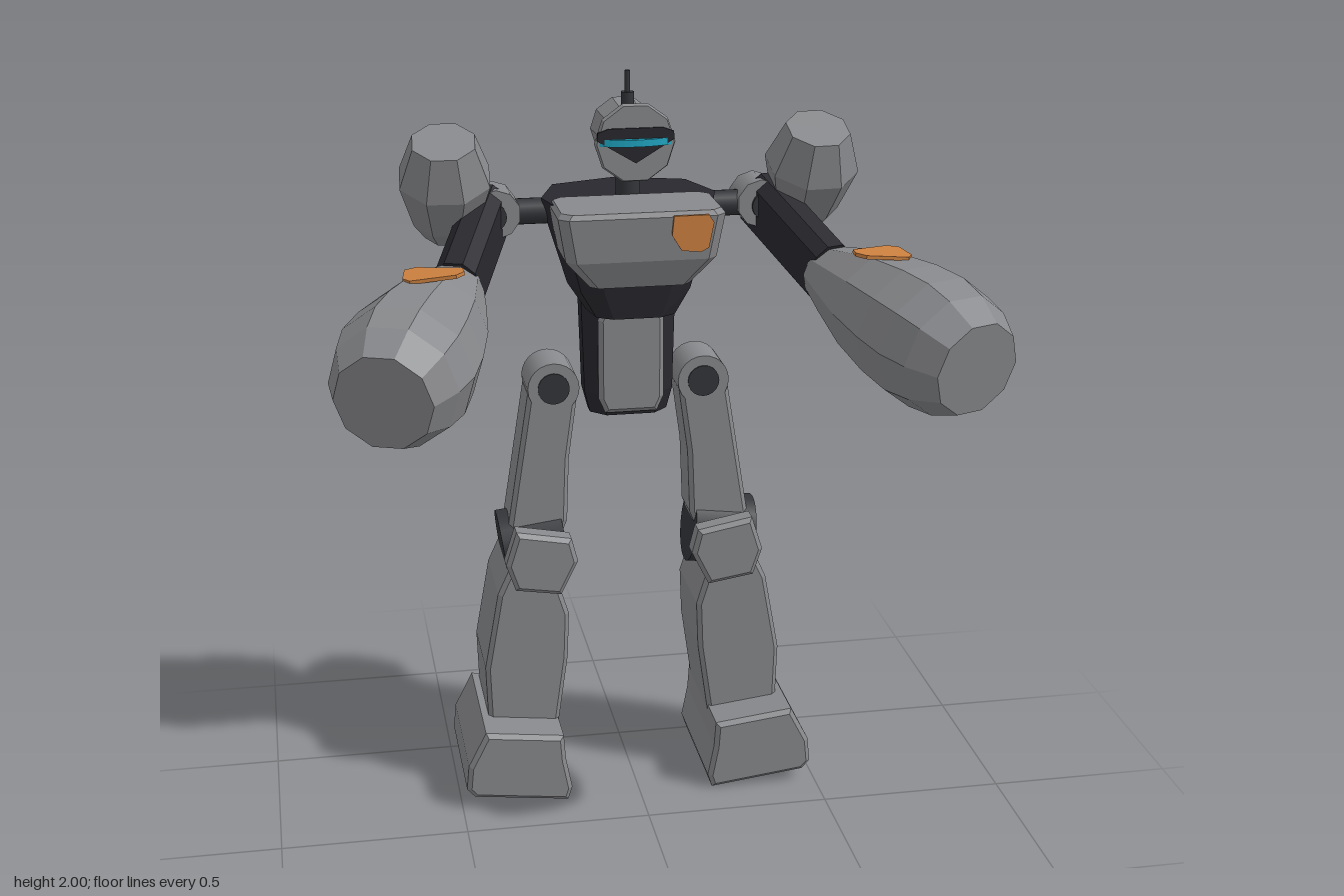
import * as THREE from 'three';

const mat = (name, color) => {
  const m = new THREE.MeshStandardMaterial({ color });
  m.name = name;
  return m;
};
const V = (x, y, z) => new THREE.Vector3(x, y, z);

// Faceted look: every face gets its own normal
function facet(g) {
  const f = g.index ? g.toNonIndexed() : g;
  f.computeVertexNormals();
  return f;
}

// Skin over rings [y, [[x, z], ...]] from bottom to top, closed at both ends
function loft(rings) {
  const pos = [];
  const at = (i, j) => {
    const [y, pts] = rings[i];
    const [x, z] = pts[j % pts.length];
    return [x, y, z];
  };
  const n = rings[0][1].length, last = rings.length - 1;
  const mid = (i) => {
    const p = rings[i][1];
    return [p.reduce((a, q) => a + q[0], 0) / n, rings[i][0], p.reduce((a, q) => a + q[1], 0) / n];
  };
  for (let j = 0; j < n; j++) {
    for (let i = 0; i < last; i++) {
      pos.push(...at(i, j), ...at(i + 1, j), ...at(i, j + 1));
      pos.push(...at(i, j + 1), ...at(i + 1, j), ...at(i + 1, j + 1));
    }
    pos.push(...mid(0), ...at(0, j), ...at(0, j + 1));
    pos.push(...mid(last), ...at(last, j + 1), ...at(last, j));
  }
  const g = new THREE.BufferGeometry();
  g.setAttribute('position', new THREE.Float32BufferAttribute(pos, 3));
  return facet(g);
}

// Rectangle ring with cut corners
const chamfer = (w, z0, z1, c) => [[w, z0 + c], [w, z1 - c], [w - c, z1], [c - w, z1],
  [-w, z1 - c], [-w, z0 + c], [c - w, z0], [w - c, z0]];

// Faceted solid of revolution from [radius, height] pairs, with closed ends
function turned(profile, sides) {
  const p = [[0.0001, profile[0][1]], ...profile, [0.0001, profile[profile.length - 1][1]]];
  return facet(new THREE.LatheGeometry(p.map(([r, y]) => new THREE.Vector2(r, y)), sides, Math.PI / sides));
}

// Outline in x/y extruded from z0 to z1
function slab(pts, z0, z1, bevel = 0.012) {
  const g = new THREE.ExtrudeGeometry(new THREE.Shape(pts.map(([x, y]) => new THREE.Vector2(x, y))), {
    depth: z1 - z0 - 2 * bevel, bevelEnabled: bevel > 0, bevelSize: bevel, bevelThickness: bevel,
    bevelOffset: -bevel, bevelSegments: 1, curveSegments: 12,
  });
  return g.translate(0, 0, z0 + bevel);
}

// Turns local y along from -> to, with local z facing up
function aim(mesh, from, to) {
  const y = to.clone().sub(from).normalize();
  const x = y.clone().cross(V(0, 1, 0)).normalize();
  mesh.quaternion.setFromRotationMatrix(new THREE.Matrix4().makeBasis(x, y, x.clone().cross(y)));
  mesh.position.copy(from);
  return mesh;
}

export function createModel() {
  const grey = mat('armour grey', 0x88898c);
  const dark = mat('frame black', 0x28282e);
  const joint = mat('joint charcoal', 0x333539);
  const orange = mat('marking orange', 0xcc8040);
  const cyan = mat('light cyan', 0x20a8c4);

  const model = new THREE.Group();
  model.name = 'robot';
  const add = (name, geo, m, parent = model) => {
    const mesh = new THREE.Mesh(geo, m);
    mesh.name = name;
    parent.add(mesh);
    return mesh;
  };
  const cyl = (name, r, from, to, m, parent, sides = 20) => {
    const mesh = add(name, new THREE.CylinderGeometry(r, r, from.distanceTo(to), sides), m, parent);
    mesh.position.copy(from).lerp(to, 0.5);
    mesh.quaternion.setFromUnitVectors(V(0, 1, 0), to.clone().sub(from).normalize());
    return mesh;
  };

  // Torso frame, chest armour and waist
  const plan = [[0.23, 0.01], [0.2, 0.14], [0.12, 0.18], [-0.12, 0.18], [-0.2, 0.14],
    [-0.23, 0.01], [-0.18, -0.14], [0, -0.2], [0.18, -0.14]];
  const torsoRing = (y, kx, kz, zc) => [y, plan.map(([x, z]) => [x * kx, z * kz + zc])];
  add('torso', loft([torsoRing(1.38, 0.52, 0.7, -0.29), torsoRing(1.45, 0.72, 0.8, -0.3),
    torsoRing(1.61, 0.93, 0.97, -0.31), torsoRing(1.678, 1, 1, -0.31)]), dark);
  add('chestPlate', loft([[1.48, chamfer(0.13, -0.28, -0.11, 0.02)], [1.555, chamfer(0.195, -0.28, -0.078, 0.025)],
    [1.67, chamfer(0.215, -0.28, -0.066, 0.025)], [1.683, chamfer(0.205, -0.28, -0.074, 0.025)]]), grey);
  add('chestBadge', slab([[0.075, 1.675], [0.165, 1.675], [0.178, 1.655], [0.165, 1.59],
    [0.145, 1.58], [0.095, 1.585], [0.07, 1.625]], -0.062, -0.054, 0), orange);
  add('waist', loft([[1.08, chamfer(0.105, -0.4, -0.275, 0.04)], [1.14, chamfer(0.12, -0.415, -0.265, 0.045)],
    [1.4, chamfer(0.127, -0.42, -0.265, 0.045)]]), dark);
  add('waistPanel', slab([[-0.07, 1.09], [0.07, 1.09], [0.088, 1.13], [0.088, 1.35], [0.075, 1.378],
    [-0.075, 1.378], [-0.088, 1.35], [-0.088, 1.13]], -0.285, -0.256), grey);

  // Head: spool-shaped helmet with a visor and an antenna
  const head = new THREE.Group();
  head.name = 'head';
  model.add(head);
  cyl('neck', 0.032, V(0, 1.66, -0.31), V(0, 1.78, -0.31), joint, head);
  const helmet = add('helmet', turned([[0.07, -0.41], [0.085, -0.395], [0.08, -0.33], [0.076, -0.27],
    [0.105, -0.2], [0.1, -0.187]], 10), grey, head);
  helmet.rotation.x = Math.PI / 2;
  helmet.position.y = 1.835;
  add('visor', slab([[-0.098, 1.865], [-0.07, 1.875], [0.07, 1.875], [0.098, 1.865], [0.1, 1.845],
    [0, 1.785], [-0.1, 1.845]], -0.19, -0.182, 0), dark, head);
  const eye = new THREE.Shape();
  eye.moveTo(-0.095, 0.188);
  eye.quadraticCurveTo(0, 0.145, 0.095, 0.188);
  const eyeGeo = new THREE.ExtrudeGeometry(eye, { depth: 0.018, bevelEnabled: false });
  add('eyeBand', eyeGeo.rotateX(-Math.PI / 2).translate(0, 1.83, 0), cyan, head);
  cyl('antennaBase', 0.017, V(0, 1.9, -0.31), V(0, 1.945, -0.31), joint, head);
  cyl('antenna', 0.007, V(0, 1.94, -0.31), V(0, 2, -0.31), joint, head, 10);

  for (const s of [1, -1]) {
    const side = s > 0 ? 'left' : 'right';
    const P = (x, y, z) => V(s * x, y, z);
    const flip = (pts) => pts.map(([x, y]) => [s * x, y]);

    // Arm
    const arm = new THREE.Group();
    arm.name = side + 'Arm';
    model.add(arm);
    cyl('shoulderAxle', 0.034, P(0.19, 1.64, -0.32), P(0.36, 1.64, -0.32), joint, arm);
    cyl('shoulderHub', 0.064, P(0.35, 1.645, -0.385), P(0.35, 1.645, -0.27), grey, arm, 10);
    cyl('shoulderPin', 0.036, P(0.36, 1.64, -0.43), P(0.36, 1.64, -0.26), joint, arm);
    aim(add('shoulderPad', turned([[0.06, 0], [0.09, 0.05], [0.124, 0.175], [0.085, 0.285]], 8), grey, arm),
      P(0.475, 1.59, -0.335), P(0.485, 1.86, -0.215));
    const shoulder = P(0.365, 1.64, -0.34), elbow = P(0.475, 1.51, -0.05);
    const ring = chamfer(0.052, -0.08, 0.085, 0.028);
    aim(add('upperArm', loft([[0, ring], [shoulder.distanceTo(elbow), ring]]), dark, arm), shoulder, elbow);
    aim(add('forearm', turned([[0.07, 0], [0.1, 0.09], [0.142, 0.23], [0.165, 0.36], [0.172, 0.46],
      [0.158, 0.54], [0.12, 0.62]], 10), grey, arm), P(0.475, 1.51, -0.07), P(0.70, 1.41, 0.50));
    const badge = add('forearmBadge', slab(flip([[0.055, 0.06], [0.025, 0.068], [-0.08, 0.005], [-0.082, -0.03],
      [-0.06, -0.052], [0.05, -0.045], [0.065, -0.015]]), 0, 0.009, 0), orange, arm);
    badge.position.copy(P(0.56, 1.609, 0.165));
    badge.rotation.set(-Math.PI / 2, s * 0.1, 0);
    const lamp = add('forearmLamp', new THREE.CylinderGeometry(0.028, 0.028, 0.009, 16), cyan, arm);
    lamp.scale.z = 0.65;
    lamp.position.copy(P(0.69, 1.541, 0.472));
    lamp.rotation.x = 0.35;

    // Leg
    const leg = new THREE.Group();
    leg.name = side + 'Leg';
    model.add(leg);
    cyl('hipHub', 0.07, P(0.205, 1.155, -0.44), P(0.205, 1.155, -0.3), grey, leg, 24);
    cyl('hipPin', 0.043, P(0.205, 1.155, -0.475), P(0.205, 1.155, -0.296), joint, leg);
    add('thigh', slab(flip([[0.14, 1.13], [0.274, 1.14], [0.335, 0.76], [0.31, 0.7], [0.2, 0.7],
      [0.172, 0.77], [0.165, 0.95]]), -0.44, -0.302), grey, leg);
    cyl('knee', 0.1, P(0.18, 0.706, -0.37), P(0.35, 0.684, -0.37), joint, leg, 24);
    add('kneeCap', slab(flip([[0.355, 0.69], [0.325, 0.79], [0.175, 0.757], [0.158, 0.69], [0.205, 0.595],
      [0.33, 0.615]].map(([x, y]) => [x, Math.min(y, 0.785)])), -0.265, -0.195), grey, leg);
    add('shin', slab(flip([[0.345, 0.655], [0.215, 0.635], [0.18, 0.52], [0.185, 0.39], [0.215, 0.18],
      [0.41, 0.2], [0.415, 0.37], [0.375, 0.59]]), -0.505, -0.235), grey, leg);
    add('foot', slab(flip([[0.43, 0.228], [0.215, 0.202], [0.21, 0.13], [0.193, 0.04], [0.205, 0.003],
      [0.465, 0.035], [0.487, 0.06], [0.48, 0.13]]), -0.53, -0.12), grey, leg);
  }
  return model;
}
